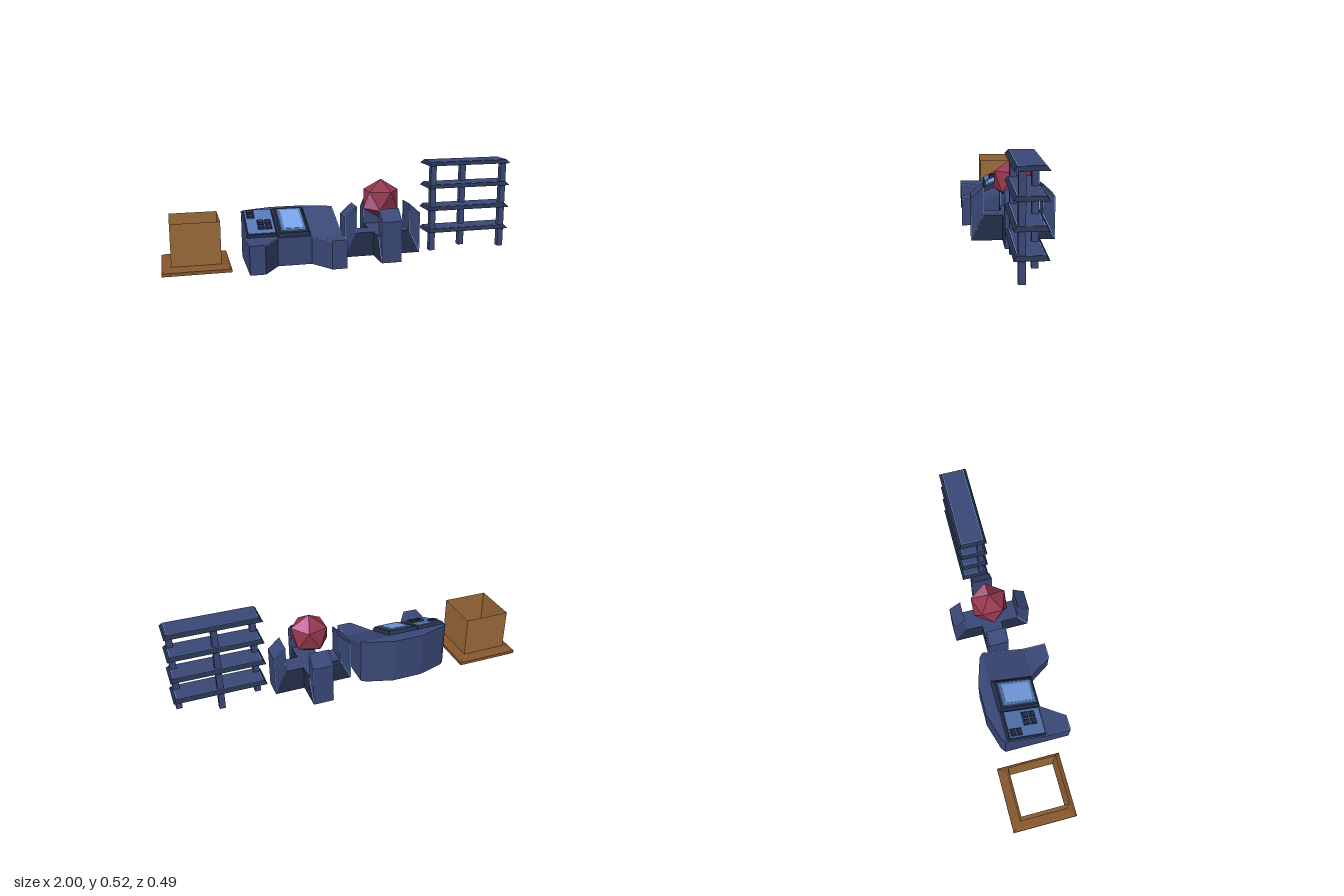
import * as THREE from 'three';

const mat = (name, color, side = THREE.FrontSide) => {
  const m = new THREE.MeshStandardMaterial({ color, side });
  m.name = name;
  return m;
};

export function createModel() {
  const blue = mat('navy blue', 0x3b4878);
  const dark = mat('dark navy', 0x24304a);
  const light = mat('light blue', 0x7aa6ec);
  const mid = mat('panel blue', 0x5578b4);
  const brown = mat('brown', 0x9d6c3b, THREE.DoubleSide);
  const deepBrown = mat('deep brown', 0x85552c, THREE.DoubleSide);
  const crimson = mat('crimson', 0x93384f);
  const pink = mat('pink', 0xc86c9c);

  const root = new THREE.Group();
  const group = (name, x = 0, y = 0, z = 0, parent = root) => {
    const g = new THREE.Group();
    g.name = name;
    g.position.set(x, y, z);
    parent.add(g);
    return g;
  };
  const add = (parent, name, geo, material, x = 0, y = 0, z = 0) => {
    const m = new THREE.Mesh(geo, material);
    m.name = name;
    m.position.set(x, y, z);
    parent.add(m);
    return m;
  };
  const box = (w, h, d) => new THREE.BoxGeometry(w, h, d);
  const shape = pts => new THREE.Shape(pts.map(p => new THREE.Vector2(p[0], p[1])));
  const extrude = (pts, depth) => new THREE.ExtrudeGeometry(shape(pts), { depth, bevelEnabled: false });
  // footprint of [x, z] points raised to a height
  const prism = (pts, h) => extrude(pts.map(([x, z]) => [x, -z]), h).rotateX(-Math.PI / 2);
  // box standing on its base whose top is inset on all sides
  const slab = (w, h, d, inset) => {
    const g = box(w, h, d).translate(0, h / 2, 0);
    const p = g.attributes.position;
    for (let i = 0; i < p.count; i++) if (p.getY(i) > h / 2) {
      p.setX(i, p.getX(i) - Math.sign(p.getX(i)) * inset);
      p.setZ(i, p.getZ(i) - Math.sign(p.getZ(i)) * inset);
    }
    g.computeVertexNormals();
    return g;
  };
  // thin light strips along a path
  const trim = (parent, pts, size = 0.004) => {
    for (let i = 0; i + 1 < pts.length; i++) {
      const a = new THREE.Vector3(...pts[i]), b = new THREE.Vector3(...pts[i + 1]);
      const m = add(parent, 'edgeTrim', box(size, size, a.distanceTo(b)), light);
      m.position.copy(a).add(b).multiplyScalar(0.5);
      m.quaternion.setFromUnitVectors(new THREE.Vector3(0, 0, 1), b.sub(a).normalize());
    }
  };
  // square lathe: radius is the half width
  const squareLathe = pts => {
    const g = new THREE.LatheGeometry(
      pts.map(([r, y]) => new THREE.Vector2(r * Math.SQRT2, y)), 4).rotateY(Math.PI / 4).toNonIndexed();
    g.computeVertexNormals();
    return g;
  };

  // Open planter box with a flared foot
  const crate = group('openBox', -0.82, 0, -0.022);
  add(crate, 'boxWalls', squareLathe([[0.13, 0.005], [0.13, 0.265]]), brown);
  add(crate, 'boxFoot', squareLathe([[0.13, 0.012], [0.15, 0.012], [0.155, 0], [0.18, 0],
    [0.18, 0.018], [0.165, 0.026], [0.13, 0.035]]), deepBrown);

  // Console desk: sloped middle, rounded back, two front legs
  const desk = group('console', -0.296);
  const H = 0.26;
  add(desk, 'deskBody', extrude([[-0.113, 0], [-0.113, 0.157], [0.13, 0.263], [0.13, 0]], 2 * H)
    .rotateY(Math.PI / 2), blue, -H);
  add(desk, 'deskBack', prism([[-H, -0.13], [H, -0.13], [0.235, -0.15], [0.085, -0.195],
    [-0.085, -0.195], [-0.235, -0.15]], 0.263), blue);
  for (const s of [-1, 1]) {
    add(desk, 'deskLeg', prism([[s * H, 0.113], [s * H, 0.242], [s * 0.178, 0.242], [s * 0.093, 0.113]], 0.157), blue);
    trim(desk, [[s * H, 0.155, 0.24], [s * H, 0.155, 0.113], [s * H, 0.261, -0.13]]);
    trim(desk, [[s * H, 0.155, 0.24], [s * 0.178, 0.155, 0.24], [s * 0.093, 0.155, 0.113]]);
  }

  // Control panels lying on the slope
  const top = group('controlPanels', 0, 0.21, -0.008, desk);
  top.rotation.x = Math.atan2(0.106, 0.243);
  add(top, 'keyPanelFrame', slab(0.165, 0.016, 0.24, 0.006), dark, -0.174, 0, -0.002);
  add(top, 'keyPanelFace', box(0.145, 0.004, 0.215), mid, -0.174, 0.017, -0.002);
  const keys = [];
  for (const z of [-0.086, -0.048]) keys.push([-0.218, z, 0.042, 0.032]);
  for (const x of [-0.172, -0.131]) for (const z of [0.01, 0.055]) keys.push([x, z, 0.036, 0.038]);
  for (const [x, z, w, d] of keys) add(top, 'key', slab(w, 0.012, d, 0.005), dark, x, 0.018, z);
  add(top, 'screenFrame', slab(0.18, 0.02, 0.255, 0.012), dark, 0, 0, 0);
  add(top, 'screenBorder', slab(0.14, 0.006, 0.21, 0.004), mid, 0, 0.019, 0);
  add(top, 'screen', box(0.105, 0.004, 0.17), light, 0, 0.025, 0);

  // Cross-shaped cradle made of four equal arms
  const cradle = group('cradle', 0.226, 0, -0.022);
  const W = 0.112;
  const profile = [[0, 0], [0.222, 0], [0.222, 0.23], [0.156, 0.29], [0.156, 0.137], [0, 0.137]];
  for (let i = 0; i < 4; i++) {
    const arm = group('cradleArm', 0, 0, 0, cradle);
    arm.rotation.y = i * Math.PI / 2;
    add(arm, 'armBody', extrude(profile, W), blue, 0, 0, -W / 2);
    add(arm, 'armSidePanel', extrude([[0, 0.001], [0.22, 0.001], [0.155, 0.136], [0, 0.136]], W + 0.003),
      dark, 0, 0, -W / 2 - 0.0015);
    for (const s of [-1, 1]) {
      const z = s * (W / 2 - 0.001);
      trim(arm, [[0.22, 0.002, z], [0.22, 0.23, z], [0.156, 0.288, z], [0.156, 0.137, z], [0.22, 0.002, z]]);
    }
  }

  // Faceted gem above the cradle: twenty faces, two of them pink
  const R = 0.114;
  const ring = (offset, y) => Array.from({ length: 5 }, (_, i) => {
    const a = i * Math.PI * 0.4 + offset;
    return [0.8944 * R * Math.cos(a), y * R, 0.8944 * R * Math.sin(a)];
  });
  const U = ring(0, 0.4472), L = ring(Math.PI / 5, -0.4472);
  const faces = [];
  for (let i = 0; i < 5; i++) {
    const j = (i + 1) % 5;
    faces.push([[0, R, 0], U[j], U[i], i === 4], [U[i], U[j], L[i], false],
      [L[j], L[i], U[j], i === 1], [[0, -R, 0], L[i], L[j], false]);
  }
  const gemGeo = new THREE.BufferGeometry();
  gemGeo.setAttribute('position', new THREE.Float32BufferAttribute(faces.flatMap(f => f.slice(0, 3).flat()), 3));
  gemGeo.computeVertexNormals();
  faces.forEach((f, i) => gemGeo.addGroup(i * 3, 3, f[3] ? 1 : 0));
  add(root, 'gem', gemGeo, [crimson, pink], 0.226, 0.316, -0.021);

  // Shelf unit: four bevelled boards on three posts
  const shelf = group('shelfUnit', 0.749, 0, -0.038);
  for (let i = 0; i < 4; i++) {
    const y = 0.11 + i * 0.13;
    add(shelf, 'shelfBoard', slab(0.5, 0.02, 0.158, 0.016), [dark, dark, blue, dark, dark, dark], 0, y, 0);
    const x = 0.232, z = 0.061, t = y + 0.0185;
    trim(shelf, [[-x, t, -z], [x, t, -z], [x, t, z], [-x, t, z], [-x, t, -z]]);
  }
  for (const [x, z] of [[-0.217, 0.041], [0, -0.041], [0.217, 0.041]])
    add(shelf, 'shelfPost', box(0.033, 0.505, 0.033), blue, x, 0.2525, z);

  return root;
}
